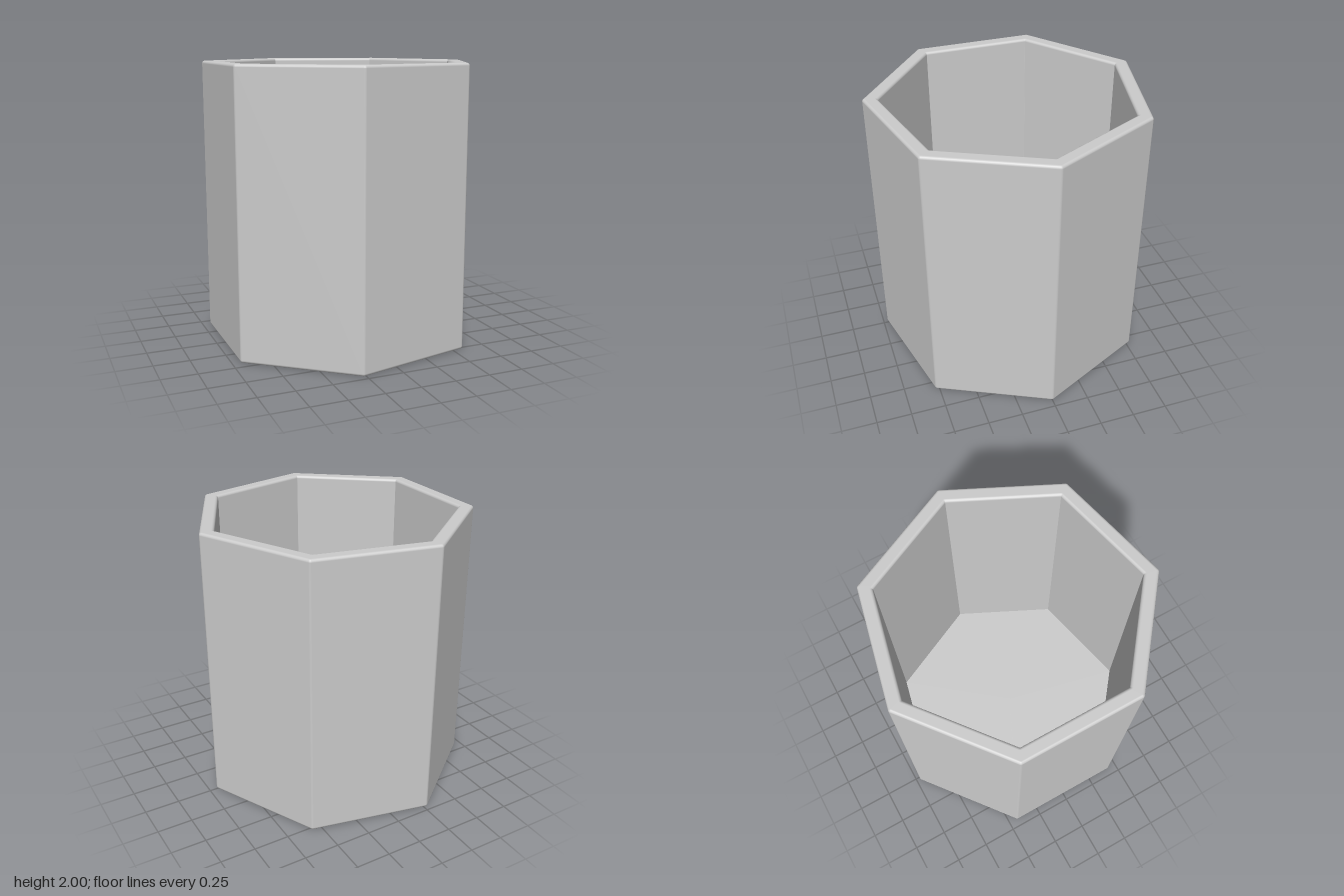
import * as THREE from 'three';

const SIDES = 7, HEIGHT = 2, FLOOR = 0.1;
const OUTER = 0.897, INNER = 0.8;   // distances from the axis to the flat sides
const BEVEL = 0.02, CENTRE_X = -0.048;
const STEPS = 4;                    // segments in each rounded edge and corner

// One heptagonal ring with rounded corners: points and their outward directions
function ring(apothem, radius) {
  const half = Math.PI / SIDES, points = [];
  const corner = (apothem - radius) / Math.cos(half);
  for (let i = 0; i < SIDES; i++) {
    const mid = i * 2 * half;
    for (let k = 0; k <= STEPS; k++) {
      const t = mid + half * (2 * k / STEPS - 1), c = Math.cos(t), s = Math.sin(t);
      points.push({
        x: corner * Math.cos(mid) + radius * c,
        z: corner * Math.sin(mid) + radius * s,
        c, s
      });
    }
  }
  return points;
}

// Cross-section from the underside, up the outside, over the rim, down to the floor
function crossSection() {
  const rows = [];
  const add = (apothem, radius, y, nr, ny) => rows.push({ apothem, radius, y, nr, ny });
  const edge = (apothem, radius, y, from, to) => {
    for (let k = 0; k <= STEPS; k++) {
      const t = from + (to - from) * k / STEPS, c = Math.cos(t), s = Math.sin(t);
      add(apothem + BEVEL * c, radius + BEVEL * c, y + BEVEL * s, c, s);
    }
  };
  const q = Math.PI / 2;
  add(0, 0, 0, 0, -1);
  edge(OUTER - BEVEL, 0.003, BEVEL, -q, 0);
  edge(OUTER - BEVEL, 0.003, HEIGHT - BEVEL, 0, q);
  edge(INNER + BEVEL, 0.023, HEIGHT - BEVEL, q, 2 * q);
  add(INNER, 0.003, FLOOR, -1, 0);
  add(INNER, 0.003, FLOOR, 0, 1);
  add(0, 0, FLOOR, 0, 1);
  return rows;
}

export function createModel() {
  const position = [], normal = [], index = [];
  const rows = crossSection(), n = SIDES * (STEPS + 1);
  rows.forEach((row, i) => {
    ring(row.apothem, row.radius).forEach((p, j) => {
      position.push(p.x, row.y, p.z);
      normal.push(p.c * row.nr, row.ny, p.s * row.nr);
      if (i === rows.length - 1) return;
      const a = i * n + j, d = i * n + (j + 1) % n;
      index.push(a, a + n, d + n, a, d + n, d);
    });
  });
  const geometry = new THREE.BufferGeometry();
  geometry.setAttribute('position', new THREE.Float32BufferAttribute(position, 3));
  geometry.setAttribute('normal', new THREE.Float32BufferAttribute(normal, 3));
  geometry.setIndex(index);

  // Hollow seven-sided cup, closed at the bottom
  const cup = new THREE.Mesh(geometry, new THREE.MeshStandardMaterial({ color: 0xcccccc }));
  cup.name = 'cup';
  cup.position.x = CENTRE_X;
  const group = new THREE.Group();
  group.name = 'heptagonalCup';
  group.add(cup);
  return group;
}
